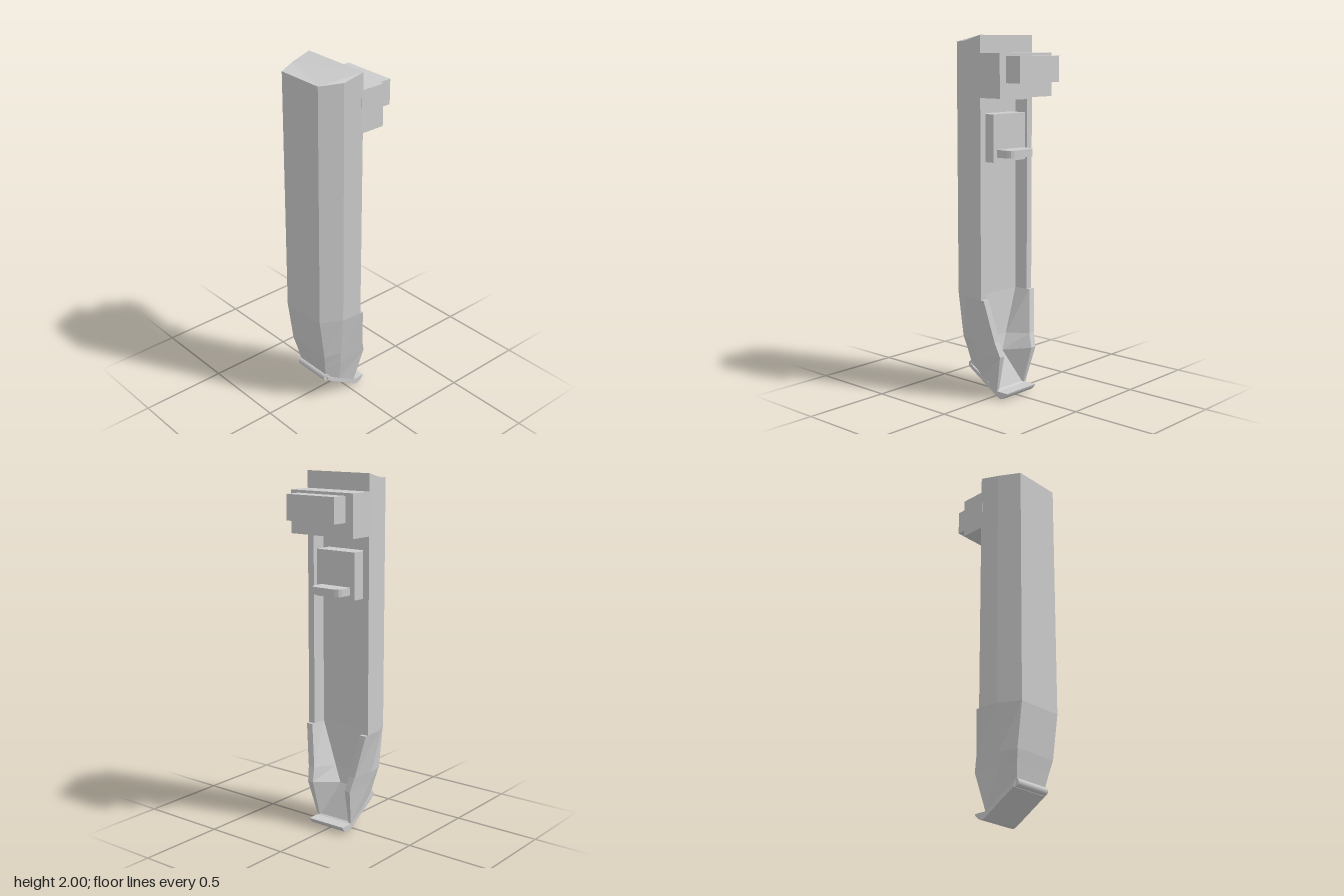
import * as THREE from 'three';

const material = new THREE.MeshStandardMaterial({ color: 0xcccccc, flatShading: true });

// Adds a named mesh to a group
function add(group, name, geometry, x = 0, y = 0, z = 0) {
  const mesh = new THREE.Mesh(geometry, material);
  mesh.name = name;
  mesh.position.set(x, y, z);
  group.add(mesh);
  return mesh;
}

// Box given by its width and its y and z ranges, centred on x
function addBox(group, name, width, y0, y1, z0, z1) {
  return add(group, name, new THREE.BoxGeometry(width, y1 - y0, z1 - z0), 0, (y0 + y1) / 2, (z0 + z1) / 2);
}

// Mirrors a half section of [x, y, z] points into a closed ring
const mirrorRing = half => [...half, ...half.slice().reverse().map(([x, y, z]) => [-x, y, z])];

// Closed loft through rings listed from top to bottom
function loft(halves) {
  const rings = halves.map(mirrorRing);
  const n = rings[0].length;
  const index = [];
  for (let r = 0; r < rings.length - 1; r++) {
    for (let i = 0; i < n; i++) {
      const j = (i + 1) % n;
      const a = r * n + i, b = r * n + j, c = a + n, d = b + n;
      index.push(c, d, b, c, b, a);
    }
  }
  const cap = (ring, offset, flip) => {
    const outline = ring.map(([x, , z]) => new THREE.Vector2(x, -z));
    for (const [a, b, c] of THREE.ShapeUtils.triangulateShape(outline, [])) {
      index.push(offset + a, offset + (flip ? c : b), offset + (flip ? b : c));
    }
  };
  cap(rings[0], 0, false);
  cap(rings[rings.length - 1], (rings.length - 1) * n, true);
  const geometry = new THREE.BufferGeometry();
  geometry.setAttribute('position', new THREE.Float32BufferAttribute(rings.flat(2), 3));
  geometry.setIndex(index);
  const flat = geometry.toNonIndexed();
  flat.computeVertexNormals();
  return flat;
}

// Extrusion of an outline, centred on its depth
function extrude(points, depth) {
  const shape = new THREE.Shape(points.map(([x, y]) => new THREE.Vector2(x, y)));
  return new THREE.ExtrudeGeometry(shape, { depth, bevelEnabled: false }).translate(0, 0, -depth / 2);
}

export function createModel() {
  const model = new THREE.Group();
  model.name = 'clipHousing';

  const cavityTop = 1.65;

  // Solid head with a sloped top
  add(model, 'head', loft([
    [[0.14, 1.965, 0.24], [0.2, 1.97, 0.12], [0.21, 2, 0]],
    [[0.14, cavityTop, 0.24], [0.2, cavityTop, 0.12], [0.21, cavityTop, 0]],
  ]));

  // Channel open at the back, half section: front, side, back, rim, floor
  const channel = (y, back) => [
    [0.14, y, 0.24], [0.2, y, 0.12], [0.21, y, back], [0.17, y, back], [0.17, y, 0.085],
  ];
  add(model, 'channelBody', loft([
    channel(cavityTop, 0),
    channel(0.57, 0),
    channel(0.57, -0.02),
    [[0.138, 0.32, 0.205], [0.162, 0.32, 0.1], [0.165, 0.33, -0.06], [0.125, 0.33, -0.06], [0.07, 0.32, 0.07]],
    [[0.122, 0.245, 0.188], [0.148, 0.24, 0.09], [0.15, 0.25, -0.085], [0.115, 0.25, -0.085], [0.025, 0.23, 0.055]],
    [[0.105, 0.15, 0.168], [0.118, 0.1, 0.08], [0.12, 0.04, -0.035], [0.105, 0.04, -0.035], [0.1, 0.042, -0.03]],
  ]));

  // Stepped blocks on the back of the head
  addBox(model, 'rearBlock', 0.42, 1.67, 1.905, -0.14, 0.01);
  addBox(model, 'rearBlockStep', 0.32, 1.75, 1.89, -0.235, -0.13);

  // Slider with its thumb lever
  addBox(model, 'sliderPlate', 0.26, 1.32, 1.58, -0.02, 0.09);
  const lever = extrude([
    [-0.1, -0.01], [0.1, -0.01], [0.1, -0.09], [0.09, -0.11],
    [0.07, -0.12], [-0.07, -0.12], [-0.09, -0.11], [-0.1, -0.09],
  ].reverse(), 0.042);
  lever.rotateX(Math.PI / 2);
  add(model, 'thumbLever', lever, 0, 1.367, 0);

  // Tilted foot plate with a curled lip, outline in z and y
  const foot = extrude([
    [0.17, 0.16], [-0.04, 0.04], [-0.11, 0.04], [-0.105, 0.028],
    [-0.085, 0.008], [-0.062, 0], [-0.042, 0.006], [0.16, 0.13],
  ], 0.24);
  foot.rotateY(-Math.PI / 2);
  add(model, 'footPlate', foot);

  // Hinge rod at the front edge of the foot plate
  const rod = new THREE.CylinderGeometry(0.022, 0.022, 0.225, 16).rotateZ(Math.PI / 2);
  add(model, 'hingeRod', rod, 0, 0.153, 0.168).material = new THREE.MeshStandardMaterial({ color: 0xcccccc });

  return model;
}
